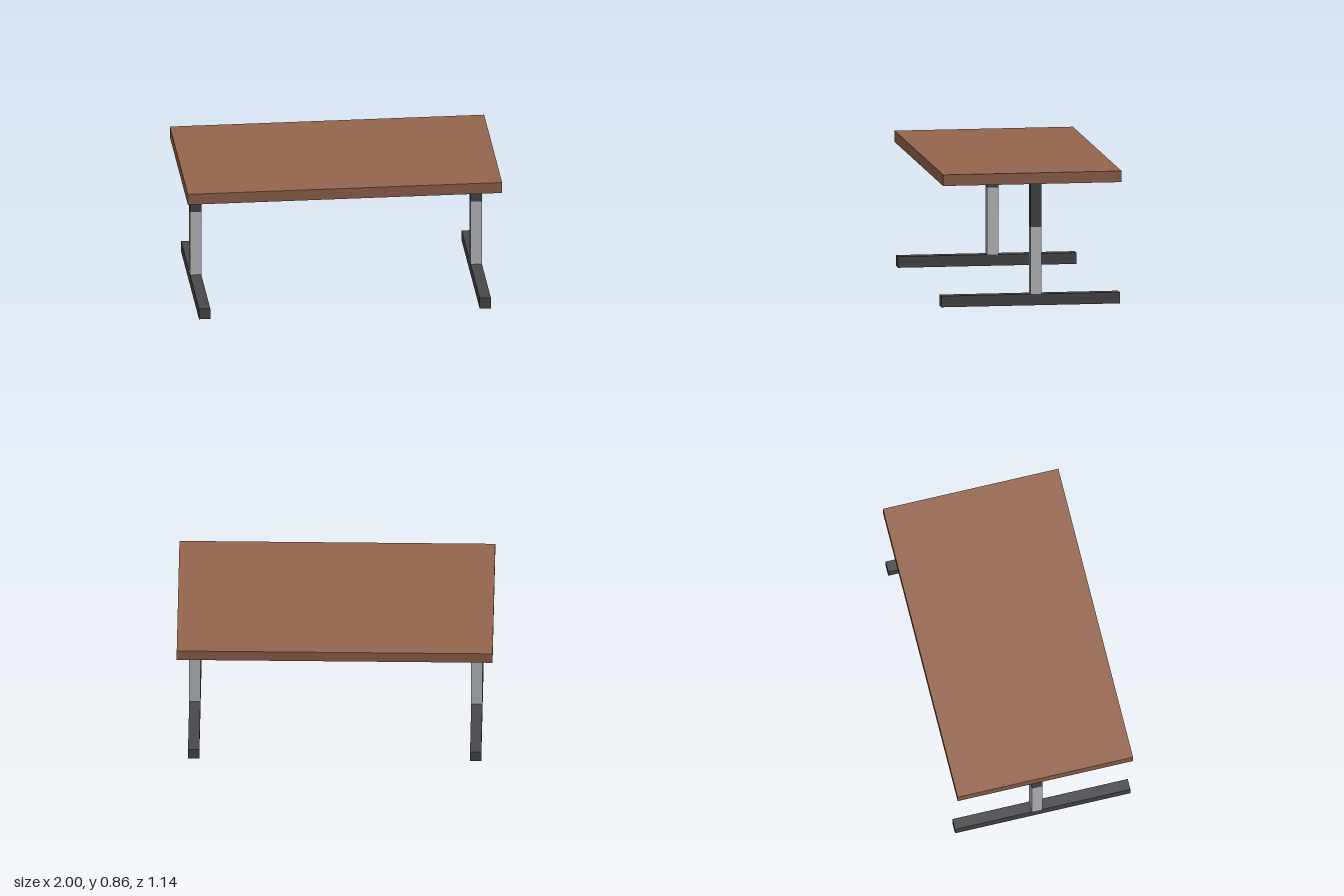
import * as THREE from 'three';

const mat = (name, color) => {
  const m = new THREE.MeshStandardMaterial({ color });
  m.name = name;
  return m;
};

// Box given by its lower and upper corners
function box(name, material, [x0, y0, z0], [x1, y1, z1]) {
  const mesh = new THREE.Mesh(new THREE.BoxGeometry(x1 - x0, y1 - y0, z1 - z0), material);
  mesh.position.set((x0 + x1) / 2, (y0 + y1) / 2, (z0 + z1) / 2);
  mesh.name = name;
  return mesh;
}

export function createModel() {
  const wood = mat('brown wood', 0x95654d);
  const darkMetal = mat('dark metal', 0x49484c);
  const lightMetal = mat('light metal', 0xc1c4c8);

  const u = 1 / 14; // thickness shared by all the bars and the top
  const depth = 8 * u, postTop = 7 * u, topBase = 11 * u;

  const table = new THREE.Group();
  table.name = 'table';
  table.add(box('tableTop', wood, [-1, topBase, -depth], [1, topBase + u, depth]));

  // Two T-shaped legs; the posts stand just behind the centre line
  for (const side of [-1, 1]) {
    const leg = new THREE.Group();
    leg.name = side > 0 ? 'leftLeg' : 'rightLeg';
    leg.position.x = side * 12.5 * u;
    const h = u / 2;
    leg.add(
      box('foot', darkMetal, [-h, 0, -depth], [h, u, depth]),
      box('lowerPost', lightMetal, [-h, u, -u], [h, postTop, 0]),
      box('upperPost', darkMetal, [-h, postTop, -u], [h, topBase, 0]),
    );
    table.add(leg);
  }
  return table;
}
